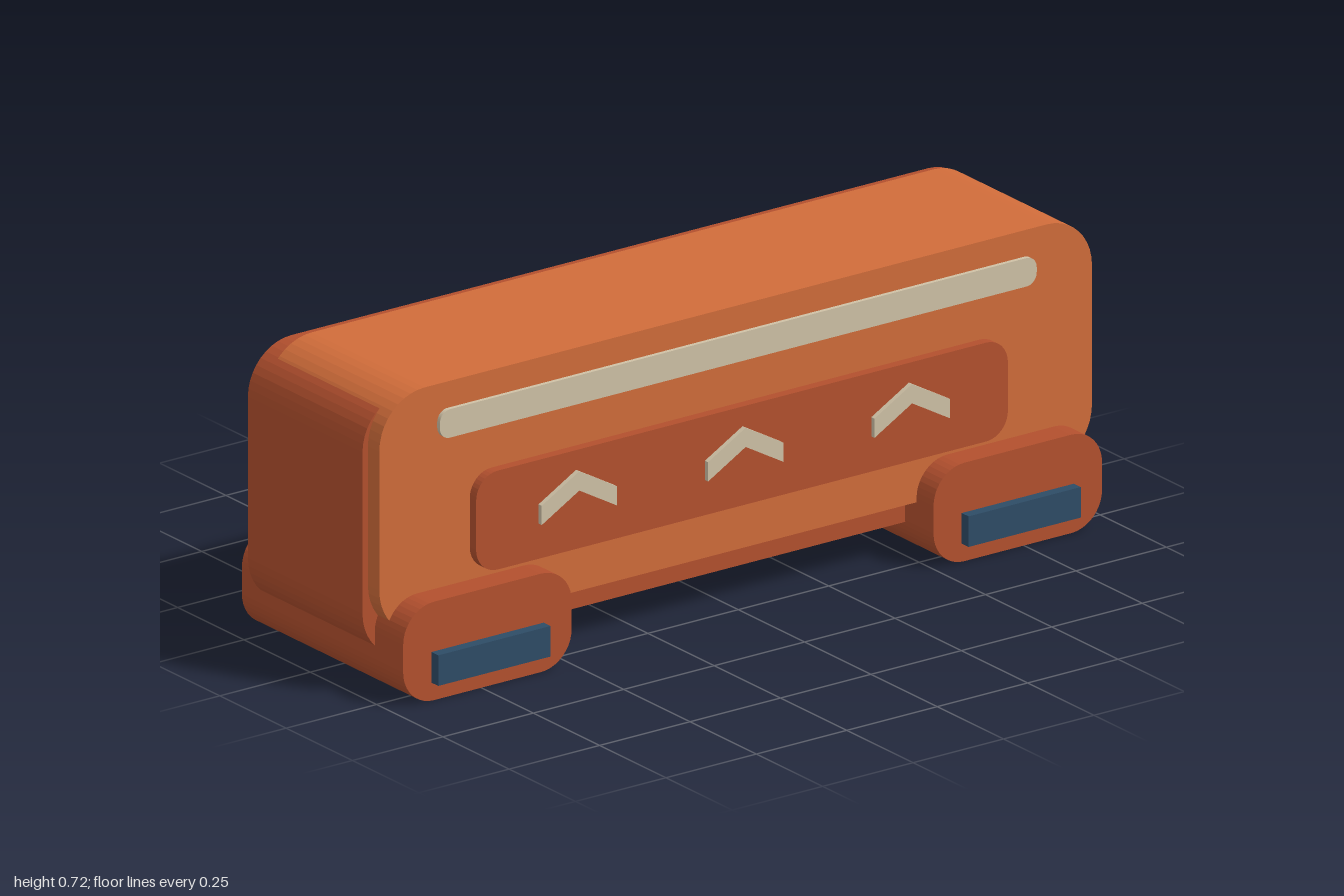
import * as THREE from 'three';

const mat = (name, color) => {
  const m = new THREE.MeshStandardMaterial({ color });
  m.name = name;
  return m;
};

// Rounded rectangle outline
function roundedRect(x0, x1, y0, y1, r) {
  const s = new THREE.Shape();
  s.absarc(x1 - r, y0 + r, r, -Math.PI / 2, 0);
  s.absarc(x1 - r, y1 - r, r, 0, Math.PI / 2);
  s.absarc(x0 + r, y1 - r, r, Math.PI / 2, Math.PI);
  s.absarc(x0 + r, y0 + r, r, Math.PI, Math.PI * 1.5);
  s.closePath();
  return s;
}

export function createModel() {
  const model = new THREE.Group();
  model.name = 'capsuleBlock';
  const orange = mat('orange', 0xd06c3a);
  const rust = mat('rust', 0xb3502e);
  const cream = mat('cream', 0xcfc1a6);
  const blue = mat('blue', 0x2e4c66);

  // Extrudes an outline from z0 to z1
  const slab = (name, shape, z0, z1, material) => {
    const g = new THREE.ExtrudeGeometry(shape, { depth: z1 - z0, bevelEnabled: false, curveSegments: 5 });
    g.translate(0, 0, z0);
    const mesh = new THREE.Mesh(g, material);
    mesh.name = name;
    model.add(mesh);
  };

  // Body and the lighter shell over its top and front
  slab('body', roundedRect(-1, 1, 0.08, 0.705, 0.12), -0.235, 0.197, rust);
  slab('shell', roundedRect(-0.985, 0.985, 0.14, 0.722, 0.125), -0.186, 0.24, orange);

  // Front panel and light strip
  slab('frontPanel', roundedRect(-0.735, 0.735, 0.253, 0.489, 0.06), 0.23, 0.264, rust);
  slab('lightStrip', roundedRect(-0.825, 0.825, 0.591, 0.659, 0.028), 0.235, 0.25, cream);

  // Upward chevrons on the panel
  for (const x of [-0.46, 0, 0.46]) {
    const chevron = new THREE.Shape([
      [-0.104, 0.338], [0, 0.397], [0.104, 0.338], [0.104, 0.384], [0, 0.443], [-0.104, 0.384],
    ].map(([px, py]) => new THREE.Vector2(x + px, py)));
    slab('chevron', chevron, 0.266, 0.278, cream);
  }

  // Feet with a blue plate on each end
  for (const side of [-1, 1]) {
    const c = side * 0.733;
    slab('foot', roundedRect(c - 0.233, c + 0.233, 0, 0.235, 0.085), -0.304, 0.304, rust);
    for (const end of [-1, 1]) {
      const plate = new THREE.Mesh(new THREE.BoxGeometry(0.31, 0.073, 0.04), blue);
      plate.name = 'footPlate';
      plate.position.set(c, 0.08, end * 0.31);
      model.add(plate);
    }
  }
  return model;
}
